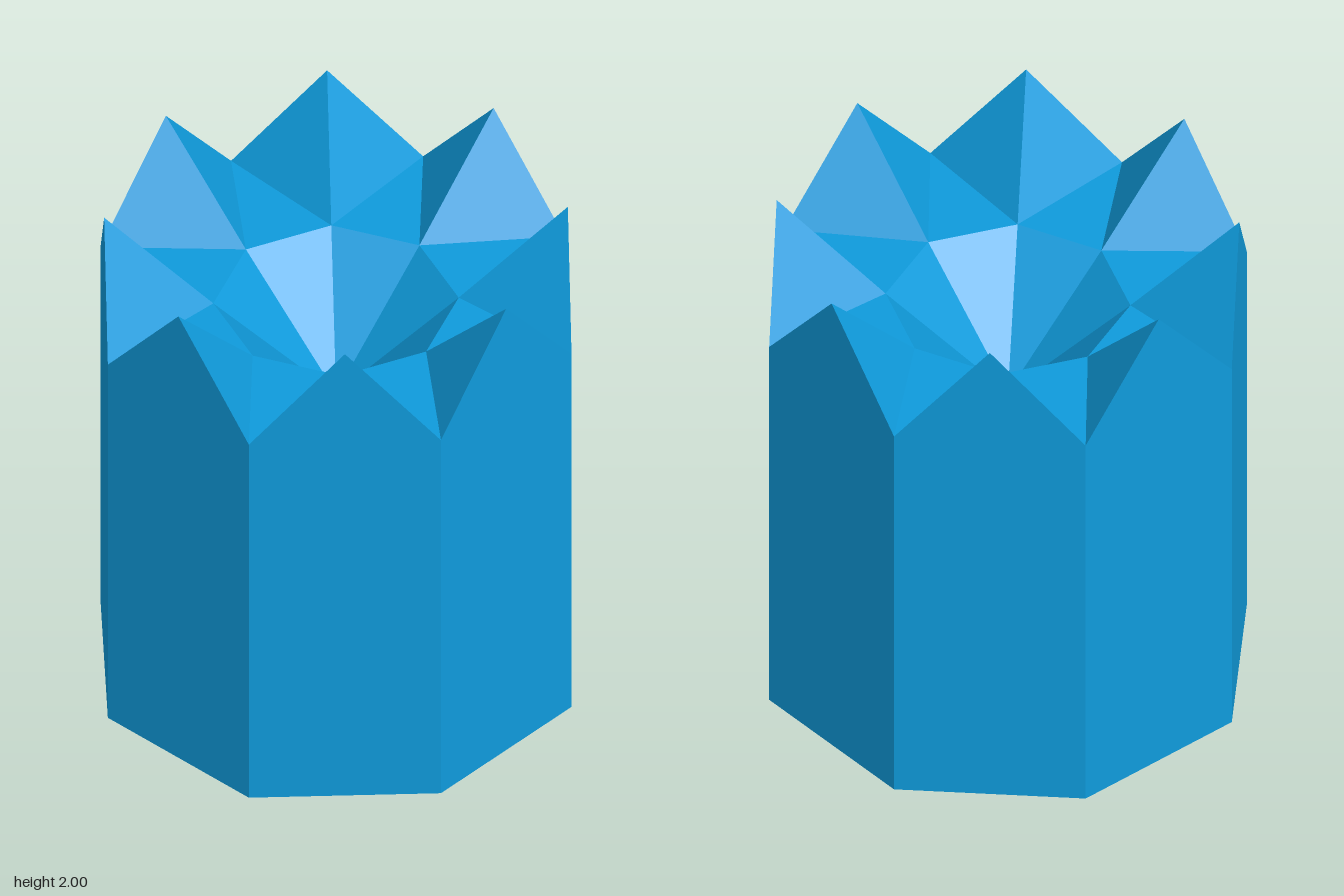
import * as THREE from 'three';

const SIDES = 8;
const STEP = (Math.PI * 2) / SIDES;
const OUTER = 0.9, INNER = 0.44;
const RIM = 1.6, TIP = 2, PIT = 1.18;

const polar = (r, y, turn) => [r * Math.sin(turn * STEP), y, r * Math.cos(turn * STEP)];

// Repeats a set of triangles around the octagon as one flat-shaded mesh
function ringMesh(name, material, trianglesAt) {
  const positions = [];
  for (let k = 0; k < SIDES; k++) positions.push(...trianglesAt(k).flat(2));
  const geometry = new THREE.BufferGeometry();
  geometry.setAttribute('position', new THREE.Float32BufferAttribute(positions, 3));
  geometry.computeVertexNormals();
  const mesh = new THREE.Mesh(geometry, material);
  mesh.name = name;
  return mesh;
}

export function createModel() {
  const group = new THREE.Group();
  group.name = 'crownedColumn';
  const blue = new THREE.MeshStandardMaterial({ color: 0x0f9bdc, flatShading: true });

  const base = (k) => polar(OUTER, 0, k);
  const notch = (k) => polar(OUTER, RIM, k);
  const tip = (k) => polar(OUTER * Math.cos(STEP / 2), TIP, k + 0.5);
  const inner = (k) => polar(INNER, RIM, k + 0.5);
  const centre = [0, PIT, 0];

  group.add(
    // Eight upright sides, each rising to a point
    ringMesh('outerWall', blue, (k) => [
      [base(k), base(k + 1), notch(k + 1)],
      [base(k), notch(k + 1), notch(k)],
      [notch(k), notch(k + 1), tip(k)],
    ]),
    // Sloping backs of the points
    ringMesh('pointBacks', blue, (k) => [
      [notch(k), tip(k), inner(k)],
      [tip(k), notch(k + 1), inner(k)],
    ]),
    // Flat triangles between neighbouring points
    ringMesh('notchFloors', blue, (k) => [[notch(k), inner(k), inner(k - 1)]]),
    // Sunken middle
    ringMesh('centrePit', blue, (k) => [[inner(k), inner(k + 1), centre]]),
    // Underside
    ringMesh('underside', blue, (k) => [[base(k + 1), base(k), [0, 0, 0]]]),
  );
  return group;
}
